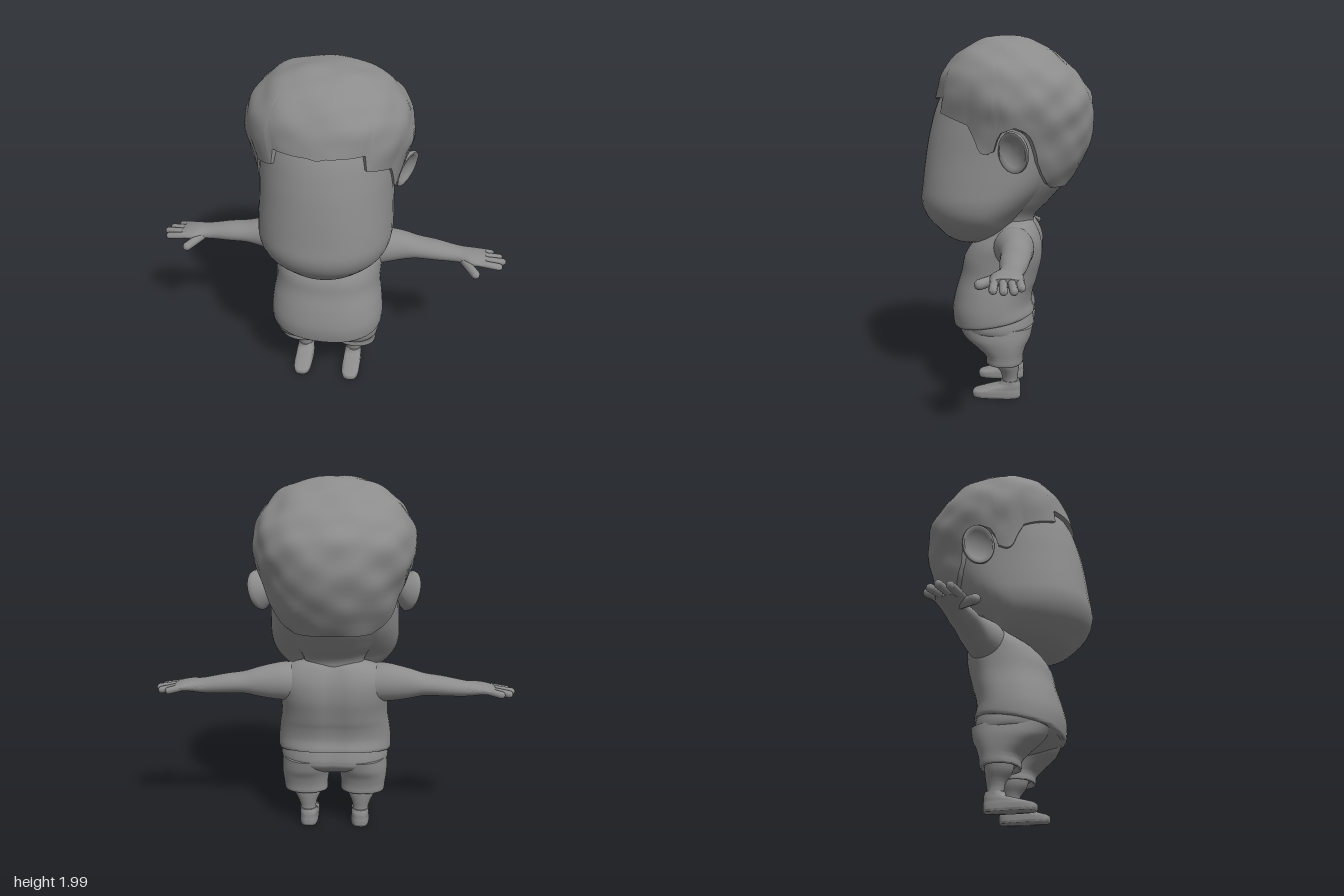
import * as THREE from 'three';
import { toCreasedNormals } from 'three/addons/utils/BufferGeometryUtils.js';

const material = new THREE.MeshStandardMaterial({ color: 0x8c8c8c });
const spow = (v, e) => Math.sign(v) * Math.abs(v) ** e;

// Catmull-Rom interpolation of every column of a list of rows
function smooth(rows, k = 6) {
  const out = [];
  for (let i = 0; i < rows.length - 1; i++) {
    const [p, q, r, s] = [-1, 0, 1, 2].map((d) => rows[Math.min(Math.max(i + d, 0), rows.length - 1)]);
    for (let j = 0; j < k; j++) {
      const t = j / k;
      out.push(q.map((v, c) => {
        const cubic = 3 * (v - r[c]) + s[c] - p[c];
        const square = 2 * p[c] - 5 * v + 4 * r[c] - s[c];
        return v + 0.5 * t * (r[c] - p[c] + t * (square + t * cubic));
      }));
    }
  }
  out.push(rows[rows.length - 1]);
  return out;
}

// Skin over closed rings of points, with fan caps at both ends
function skin(rings) {
  const n = rings[0].length, pos = rings.flat(2), idx = [];
  for (let r = 0; r < rings.length - 1; r++) {
    for (let i = 0; i < n; i++) {
      const a = r * n + i, b = r * n + (i + 1) % n;
      idx.push(a, a + n, b, b, a + n, b + n);
    }
  }
  [rings[0], rings[rings.length - 1]].forEach((ring, end) => {
    const centre = pos.length / 3, base = end * (rings.length - 1) * n;
    pos.push(...[0, 1, 2].map((c) => ring.reduce((sum, p) => sum + p[c], 0) / n));
    for (let i = 0; i < n; i++) {
      const a = base + i, b = base + (i + 1) % n;
      idx.push(centre, end ? b : a, end ? a : b);
    }
  });
  const geo = new THREE.BufferGeometry();
  geo.setAttribute('position', new THREE.Float32BufferAttribute(pos, 3));
  geo.setIndex(idx);
  return geo;
}

// Loft rows: [position on axis, half width, front z, back z, widest z, offset, roundness]
function loft(rows, { alongX = false, warp = (p) => p, sides = 44 } = {}) {
  const full = rows.map(([t, a, f, b, c, o = 0, n = 2]) => [t, a, f, b, c, o, n]);
  return skin(smooth(full).map(([t, a, f, b, c, o, n]) =>
    Array.from({ length: sides }, (_, i) => {
      const th = (i / sides) * Math.PI * 2;
      const u = a * spow(Math.cos(th), 2 / n), s = spow(Math.sin(th), 2 / n);
      const z = c + s * (s > 0 ? f - c : c - b);
      return warp(alongX ? [t, o - u, z] : [o + u, t, z]);
    })));
}

// Row of a table at x, interpolated linearly
function lerpTable(table, x) {
  const i = Math.max(1, table.findIndex((r) => r[0] >= x));
  const p = table[i - 1], q = table[i], t = Math.min(1, Math.max(0, (x - p[0]) / (q[0] - p[0])));
  return p.map((v, c) => v + (q[c] - v) * t);
}

// Rounded finger between two points
function finger(p, q, r) {
  const a = new THREE.Vector3(...p), b = new THREE.Vector3(...q), d = b.clone().sub(a);
  const geo = new THREE.CapsuleGeometry(r, d.length(), 5, 12);
  geo.applyQuaternion(new THREE.Quaternion().setFromUnitVectors(new THREE.Vector3(0, 1, 0), d.normalize()));
  return geo.translate(...a.add(b).multiplyScalar(0.5).toArray());
}

// Hair cap: runs from the crown down to a stepped hairline, hugging the temples at the front
function hairGeometry() {
  const shape = smooth([
    [1.17, 0.29, 0.40, -0.32], [1.3, 0.355, 0.46, -0.405], [1.4, 0.378, 0.455, -0.45], [1.5, 0.412, 0.44, -0.47],
    [1.6, 0.442, 0.405, -0.473], [1.7, 0.432, 0.38, -0.445], [1.8, 0.395, 0.345, -0.37], [1.9, 0.305, 0.26, -0.26],
    [1.96, 0.2, 0.15, -0.15], [1.985, 0.1, 0.08, -0.07], [1.992, 0.002, 0.002, -0.002]]);
  const hairline = [
    [0, 1.65], [6, 1.66], [36, 1.66], [38, 1.58], [50, 1.56], [60, 1.54], [68, 1.52], [73, 1.46], [77, 1.385],
    [81, 1.37], [86, 1.39], [89, 1.48], [97, 1.51], [103, 1.49], [107, 1.46], [114, 1.33], [120, 1.27],
    [128, 1.22], [140, 1.19], [180, 1.19]];
  const sides = 180, rows = 40, rings = [];
  for (let r = 0; r <= rows + 1; r++) {
    const ring = [], t = Math.min(1, r / rows);
    for (let i = 0; i < sides; i++) {
      const deg = (i / sides) * 360, phi = deg * Math.PI / 180, side = deg > 180 ? 360 - deg : deg;
      const y = 1.992 - (1.992 - lerpTable(hairline, side)[1]) * t ** 1.6;
      const [, a, f, b] = lerpTable(shape, y);
      const hug = THREE.MathUtils.smoothstep(95 - side, 0, 20) * t ** 4;
      const s = spow(Math.sin(phi), 0.92), c = spow(Math.cos(phi), 0.92);
      const x = (a + (Math.min(a, 0.366) - a) * hug) * s, z = c > 0 ? f * c : -b * c;
      const bump = Math.sin(25 * x + 7 * y) * Math.sin(27 * y + 6 * z) + Math.sin(29 * z + 9 * x) * Math.cos(31 * y - 8 * x);
      const k = r > rows ? 0.9 : 1 + 0.011 * bump * (1 - hug);
      ring.push([x * k, y + 0.005 * bump * (1 - t), z * k]);
    }
    rings.push(ring);
  }
  return skin(rings);
}

export function createModel() {
  const model = new THREE.Group();
  const add = (name, geo) => {
    const mesh = new THREE.Mesh(toCreasedNormals(geo, 0.95), material);
    mesh.name = name;
    model.add(mesh);
  };
  const addPair = (name, geo) => {
    const other = geo.clone().scale(-1, 1, 1);
    other.setIndex(Array.from(geo.index.array).reverse());
    add('left' + name, geo);
    add('right' + name, other);
  };
  // Groove down the middle of the back
  const spine = ([x, y, z]) => [x, y, z < 0 ? z * (1 - 0.1 * Math.exp(-((x / 0.06) ** 2))) : z];

  // Head, neck and hair
  add('head', loft([
    [0.862, 0.02, 0.23, 0.17, 0.2], [0.87, 0.11, 0.28, 0.1, 0.19], [0.9, 0.2, 0.34, 0.03, 0.16],
    [0.95, 0.275, 0.39, -0.03, 0.13, 0, 2.1], [1.02, 0.335, 0.45, -0.08, 0.12, 0, 2.1],
    [1.1, 0.36, 0.475, -0.16, 0.1, 0, 2.2], [1.2, 0.36, 0.465, -0.25, 0.07, 0, 2.3],
    [1.35, 0.353, 0.447, -0.36, 0.05, 0, 2.2], [1.5, 0.35, 0.42, -0.42, 0.03, 0, 2.1],
    [1.65, 0.335, 0.372, -0.41, 0, 0, 2.1], [1.8, 0.28, 0.28, -0.32, 0], [1.9, 0.14, 0.14, -0.16, 0]]));
  add('neck', loft([
    [0.85, 0.17, 0.1, -0.17, -0.05], [1.0, 0.165, 0.08, -0.15, -0.05], [1.1, 0.22, 0.1, -0.235, -0.06],
    [1.2, 0.28, 0.1, -0.318, -0.06], [1.3, 0.32, 0.1, -0.37, -0.06]]));
  add('hair', hairGeometry());

  // Cupped ears, turned a little forwards
  const ear = new THREE.LatheGeometry([[0, -0.06], [0.05, -0.045], [0.088, -0.012], [0.1, 0.006], [0.097, 0.018],
    [0.086, 0.02], [0.072, 0.008], [0.045, -0.006], [0, -0.01]].map((p) => new THREE.Vector2(...p)), 32);
  ear.rotateZ(-Math.PI / 2).scale(1, 1.1, 0.9).rotateY(-0.5).rotateZ(-0.25).translate(0.398, 1.39, -0.068);
  addPair('Ear', ear);

  // Vest, with a hem that rises towards the back
  const hem = (p) => {
    const [x, y, z] = spine(p);
    return [x, y + (0.3 - z) * 0.19 * Math.max(0, 1 - (y - 0.4) / 0.25), z];
  };
  add('vest', loft([
    [0.4, 0.317, 0.29, -0.165, 0.06, 0, 2.3], [0.42, 0.325, 0.3, -0.163, 0.06, 0, 2.3],
    [0.5, 0.325, 0.305, -0.15, 0.06, 0, 2.3], [0.6, 0.315, 0.285, -0.16, 0.04, 0, 2.3],
    [0.7, 0.302, 0.255, -0.185, 0.01, 0, 2.3], [0.79, 0.305, 0.235, -0.205, -0.02, 0, 2.3],
    [0.87, 0.31, 0.18, -0.205, -0.04, 0, 2.3], [0.93, 0.295, 0.1, -0.19, -0.05, 0, 2.2],
    [0.98, 0.24, 0.04, -0.165, -0.06], [1.0, 0.17, 0, -0.14, -0.07]], { warp: hem }));

  // Shorts: seat flowing into two legs
  add('shortsSeat', loft([
    [0.325, 0.1, 0.07, -0.05, 0], [0.345, 0.2, 0.15, -0.1, 0.02, 0, 2.2], [0.38, 0.285, 0.235, -0.148, 0.03, 0, 2.3],
    [0.42, 0.31, 0.28, -0.166, 0.05, 0, 2.3], [0.5, 0.3, 0.27, -0.15, 0.05, 0, 2.3]], { warp: spine }));
  addPair('ShortsLeg', loft([
    [0.235, 0.1, 0.08, -0.075, 0, 0.16], [0.217, 0.11, 0.09, -0.085, 0, 0.16], [0.217, 0.125, 0.102, -0.1, 0, 0.163, 2.3],
    [0.26, 0.128, 0.107, -0.104, 0, 0.166, 2.3], [0.31, 0.136, 0.16, -0.118, 0.01, 0.166, 2.3],
    [0.36, 0.146, 0.222, -0.142, 0.03, 0.16, 2.2], [0.42, 0.15, 0.255, -0.155, 0.04, 0.15, 2.2]]));

  // Lower legs and shoes
  addPair('LowerLeg', loft([
    [0.05, 0.045, 0.01, -0.07, -0.03, 0.15], [0.11, 0.045, 0.015, -0.07, -0.03, 0.153],
    [0.15, 0.056, 0.025, -0.075, -0.025, 0.155], [0.2, 0.08, 0.058, -0.08, -0.01, 0.157],
    [0.26, 0.09, 0.07, -0.08, 0, 0.16]]));
  addPair('Shoe', loft([
    [0, 0.052, 0.178, -0.084, 0.05, 0.15, 3.2], [0.006, 0.054, 0.181, -0.087, 0.05, 0.15, 3.2],
    [0.034, 0.055, 0.179, -0.088, 0.05, 0.15, 3.2], [0.05, 0.053, 0.135, -0.087, 0.03, 0.15, 3],
    [0.065, 0.052, 0.08, -0.087, 0, 0.15, 2.8], [0.078, 0.05, 0.035, -0.086, -0.02, 0.15, 2.6],
    [0.1, 0.047, 0.02, -0.08, -0.03, 0.153]]));

  // Arms with palms, fingers and thumbs
  addPair('Arm', loft([
    [0.2, 0.11, 0.05, -0.16, -0.05, 0.87], [0.28, 0.108, 0.05, -0.165, -0.06, 0.877], [0.34, 0.1, 0.03, -0.165, -0.07, 0.877],
    [0.42, 0.083, 0.005, -0.162, -0.08, 0.876], [0.5, 0.062, -0.005, -0.158, -0.08, 0.872],
    [0.6, 0.055, -0.01, -0.152, -0.08, 0.864], [0.7, 0.046, -0.02, -0.14, -0.08, 0.853],
    [0.75, 0.04, -0.012, -0.138, -0.08, 0.85], [0.8, 0.035, 0.012, -0.142, -0.07, 0.85],
    [0.85, 0.029, 0.012, -0.147, -0.07, 0.847], [0.885, 0.02, 0.005, -0.14, -0.07, 0.844]], { alongX: true, sides: 32 }));
  const tips = [[0.915, 0.832, -0.138], [0.962, 0.828, -0.108], [0.98, 0.832, -0.064], [0.96, 0.83, -0.015]];
  tips.forEach((tip, i) => addPair('Finger' + (i + 1), finger([0.85, 0.846, -0.125 + i * 0.038], tip, 0.02)));
  addPair('Thumb', finger([0.75, 0.845, -0.05], [0.83, 0.82, 0.06], 0.025));

  return model;
}
